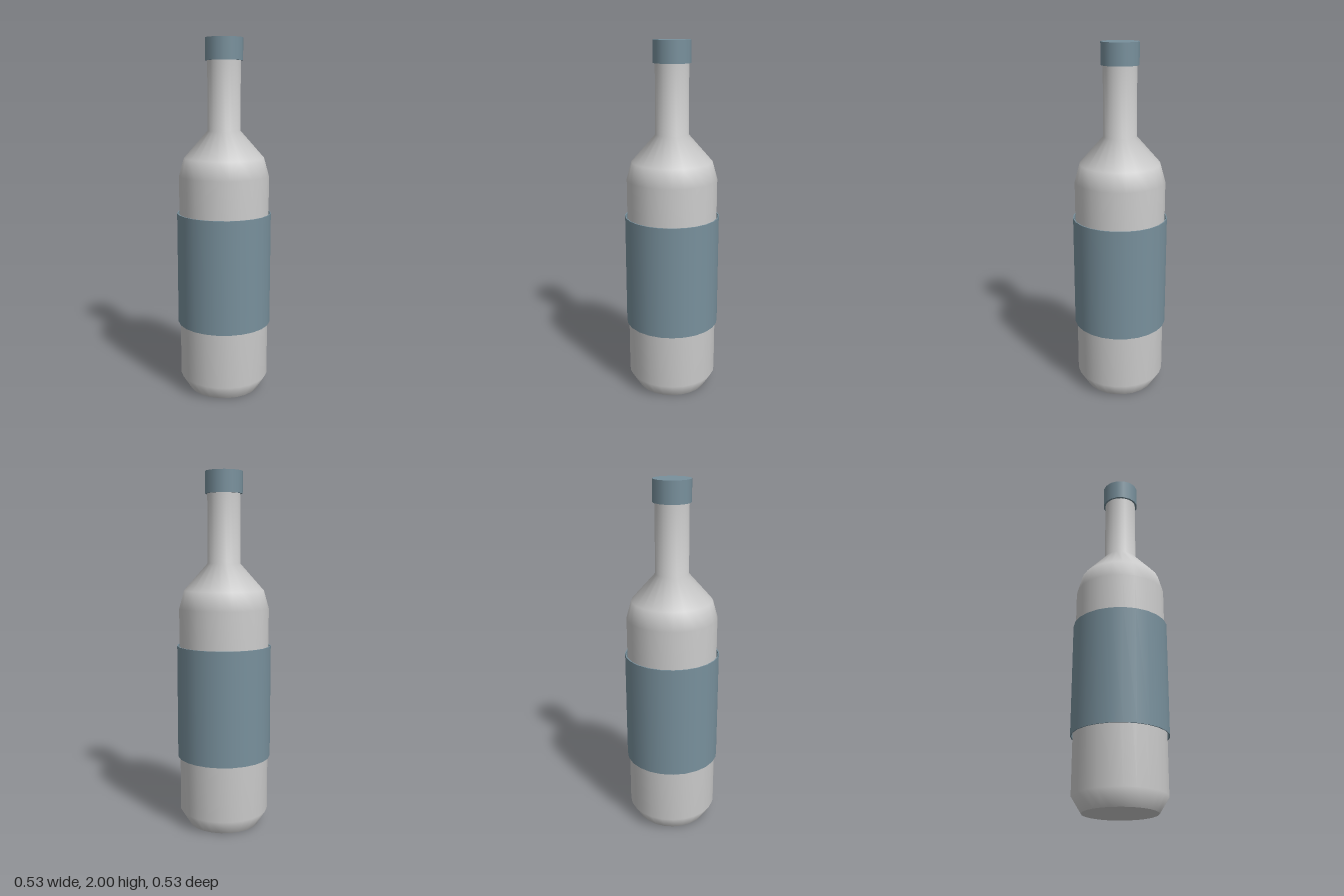
import * as THREE from 'three';
import { mergeGeometries } from 'three/addons/utils/BufferGeometryUtils.js';

const glass = new THREE.MeshStandardMaterial({ color: 0xcccccc });
const slate = new THREE.MeshStandardMaterial({ color: 0x78909c });

// Turns each smooth run of [radius, height] points, keeping sharp edges between runs
function turned(name, runs, sides, material) {
  const parts = runs.map((run) =>
    new THREE.LatheGeometry(run.map(([r, y]) => new THREE.Vector2(r, y)), sides));
  const mesh = new THREE.Mesh(mergeGeometries(parts), material);
  mesh.name = name;
  return mesh;
}

export function createModel() {
  const group = new THREE.Group();
  group.name = 'bottle';

  // Body: flat base, chamfer, straight wall, shoulder and neck
  group.add(turned('bottleBody', [
    [[0, 0], [0.2, 0]],
    [[0.2, 0], [0.253, 0.085], [0.253, 1.25], [0.225, 1.35], [0.092, 1.5], [0.092, 1.9]],
    [[0.092, 1.9], [0, 1.9]],
  ], 24, glass));

  // Label: thin sleeve standing slightly clear of the body
  const inner = 0.26, outer = 0.266, low = 0.4, high = 1.04;
  group.add(turned('labelSleeve', [
    [[outer, low], [outer, high]],
    [[outer, high], [inner, high]],
    [[inner, high], [inner, low]],
    [[inner, low], [outer, low]],
  ], 24, slate));

  // Cap over the mouth
  const cap = new THREE.Mesh(new THREE.CylinderGeometry(0.104, 0.104, 0.12, 16), slate);
  cap.name = 'cap';
  cap.position.y = 1.94;
  group.add(cap);

  return group;
}
